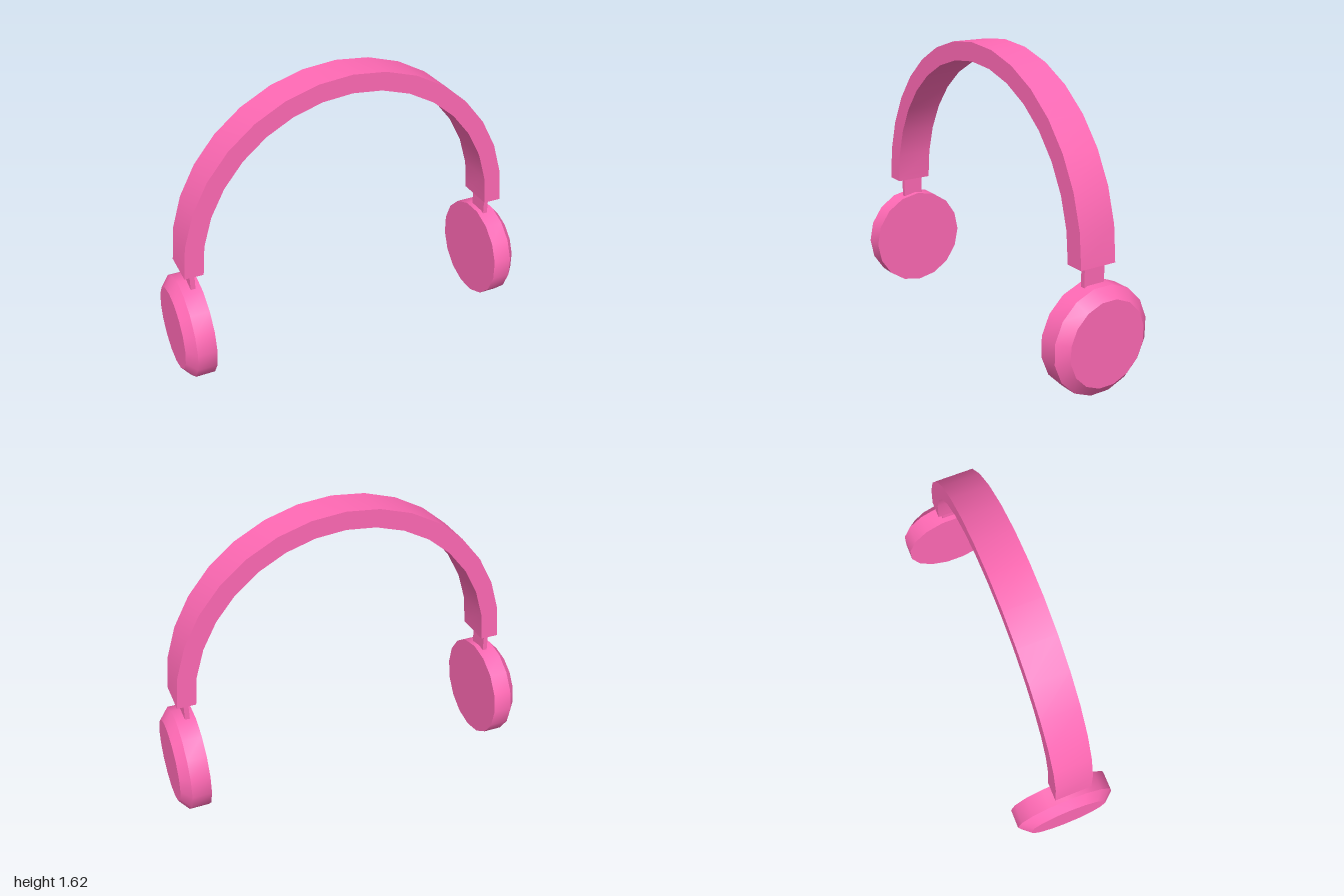
import * as THREE from 'three';
import { toCreasedNormals } from 'three/addons/utils/BufferGeometryUtils.js';

const material = new THREE.MeshStandardMaterial({ color: 0xff69b4 });

function addPart(parent, name, geometry) {
  const mesh = new THREE.Mesh(toCreasedNormals(geometry, 0.6), material);
  mesh.name = name;
  parent.add(mesh);
  return mesh;
}

// Half-ring of straight segments, extruded front to back
function headbandGeometry() {
  const segments = 16, baseY = 0.672;
  const arc = (rx, ry) => Array.from({ length: segments + 1 }, (_, i) => {
    const a = (i / segments) * Math.PI;
    return new THREE.Vector2(rx * Math.cos(a), baseY + ry * Math.sin(a));
  });
  const shape = new THREE.Shape([...arc(0.942, 0.95), ...arc(0.84, 0.85).reverse()]);
  const geometry = new THREE.ExtrudeGeometry(shape, { depth: 0.206, bevelEnabled: false });
  return geometry.translate(0, 0, -0.078);
}

// 16-sided disc with a chamfered outer rim, facing sideways
function earCupGeometry(side) {
  const sides = 16, radius = 0.285;
  const profile = [[0, 0.845], [radius, 0.845], [radius, 0.95], [0.227, 1], [0, 1]]
    .map(([r, x]) => new THREE.Vector2(r, x));
  // the left cup is turned by half a facet
  const start = side > 0 ? Math.PI / sides : 0;
  return new THREE.LatheGeometry(profile, sides, start)
    .rotateZ(-side * Math.PI / 2)
    .translate(0, 0.288, -0.002);
}

export function createModel() {
  const model = new THREE.Group();
  model.name = 'headphones';

  addPart(model, 'headband', headbandGeometry());

  for (const [side, label] of [[1, 'left'], [-1, 'right']]) {
    addPart(model, label + 'EarCup', earCupGeometry(side));
    // Flat stem joining the band to the cup
    const stem = addPart(model, label + 'Stem', new THREE.BoxGeometry(0.026, 0.15, 0.12));
    stem.position.set(side * 0.888, 0.615, 0.013);
  }
  return model;
}
